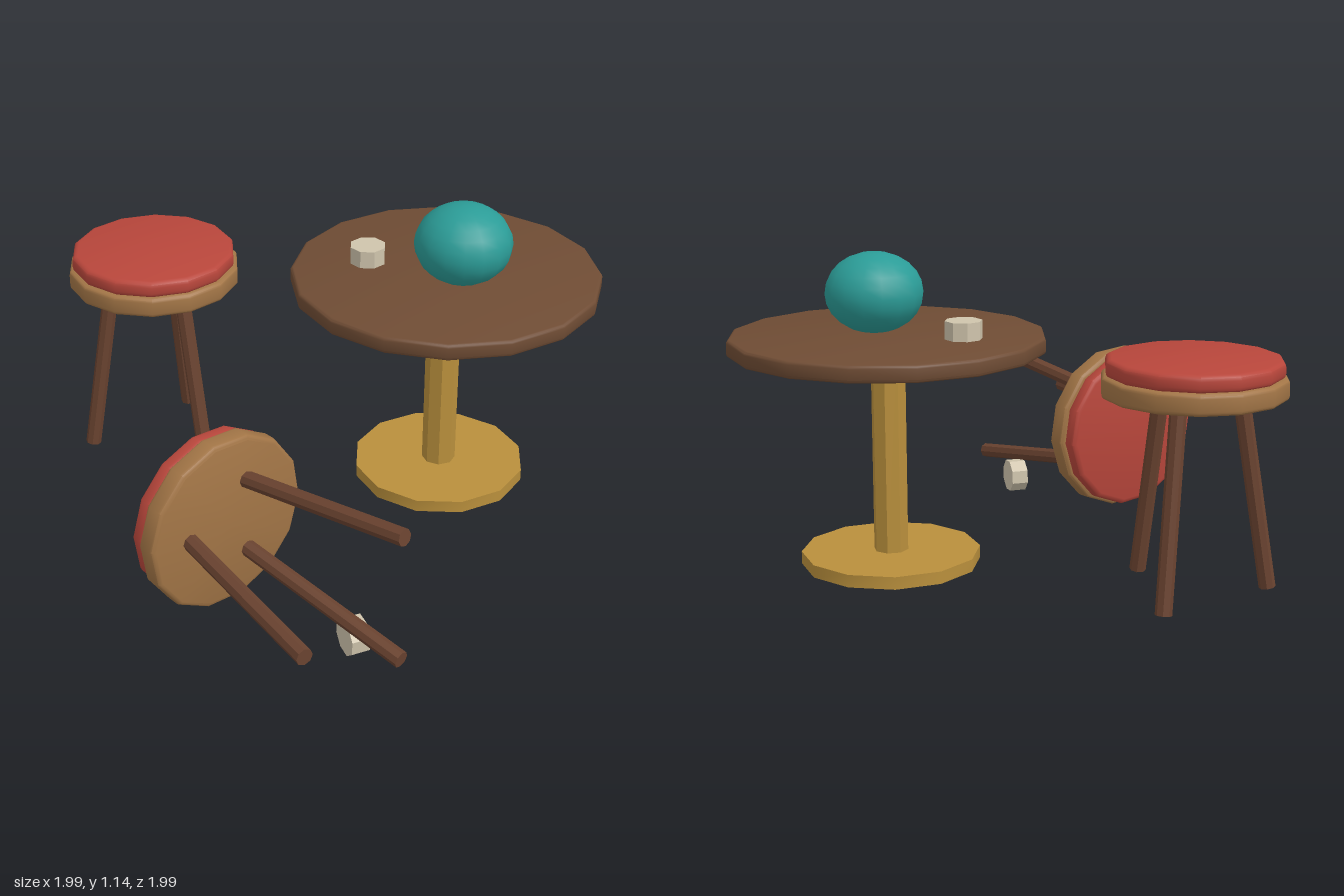
import * as THREE from 'three';
import { toCreasedNormals } from 'three/addons/utils/BufferGeometryUtils.js';

const material = (name, color) => {
  const m = new THREE.MeshStandardMaterial({ color });
  m.name = name;
  return m;
};

// Round slab from y0 to y1 with softened edges
function discGeometry(r, y0, y1, bevel, sides) {
  const points = [new THREE.Vector2(0, y0)];
  for (let i = 0; i <= 3; i++) {
    const a = -Math.PI / 2 + (i * Math.PI) / 6;
    points.push(new THREE.Vector2(r - bevel + bevel * Math.cos(a), y0 + bevel + bevel * Math.sin(a)));
  }
  for (let i = 0; i <= 3; i++) {
    const a = (i * Math.PI) / 6;
    points.push(new THREE.Vector2(r - bevel + bevel * Math.cos(a), y1 - bevel + bevel * Math.sin(a)));
  }
  points.push(new THREE.Vector2(0, y1));
  return toCreasedNormals(new THREE.LatheGeometry(points, sides), 0.62);
}

// Straight faceted rod between two points
function rodGeometry(from, to, r, sides) {
  const dir = to.clone().sub(from);
  const g = new THREE.CylinderGeometry(r, r, dir.length(), sides);
  g.applyQuaternion(new THREE.Quaternion().setFromUnitVectors(new THREE.Vector3(0, 1, 0), dir.normalize()));
  g.translate((from.x + to.x) / 2, (from.y + to.y) / 2, (from.z + to.z) / 2);
  return toCreasedNormals(g, 0.5);
}

export function createModel() {
  const darkWood = material('dark wood', 0x6f4c34);
  const legWood = material('leg wood', 0x6a4330);
  const paleWood = material('pale wood', 0xa27546);
  const redCloth = material('red cloth', 0xb8463b);
  const brass = material('brass', 0xb98f3c);
  const teal = material('teal', 0x2b9c97);
  const cream = material('cream', 0xcfc4ac);

  const model = new THREE.Group();
  model.name = 'tableAndStools';

  const add = (parent, name, geometry, mat, x = 0, y = 0, z = 0) => {
    const mesh = new THREE.Mesh(geometry, mat);
    mesh.name = name;
    mesh.position.set(x, y, z);
    parent.add(mesh);
    return mesh;
  };

  // Pedestal table
  const table = new THREE.Group();
  table.name = 'table';
  table.position.set(0.193, 0, -0.44);
  model.add(table);
  add(table, 'tableTop', discGeometry(0.558, 0.808, 0.868, 0.012, 16), darkWood);
  add(table, 'tablePole', toCreasedNormals(new THREE.CylinderGeometry(0.062, 0.062, 0.75, 8), 0.5), brass, 0, 0.445, 0);
  add(table, 'tableBase', toCreasedNormals(new THREE.CylinderGeometry(0.32, 0.32, 0.045, 12), 0.6), brass, 0, 0.058, 0);

  // Three-legged stool, origin at the centre of its feet
  function stool(name, spin) {
    const g = new THREE.Group();
    g.name = name;
    add(g, 'seatRim', discGeometry(0.316, 0.685, 0.76, 0.016, 14), paleWood).rotation.y = spin;
    add(g, 'cushion', discGeometry(0.302, 0.755, 0.817, 0.02, 14), redCloth).rotation.y = spin;
    for (let i = 0; i < 3; i++) {
      const a = (i * Math.PI * 2) / 3;
      const at = (r, y) => new THREE.Vector3(r * Math.cos(a), y, r * Math.sin(a));
      add(g, 'stoolLeg', rodGeometry(at(0.272, 0.005), at(0.158, 0.7), 0.029, 8), legWood);
    }
    model.add(g);
    return g;
  }

  stool('standingStool', 0).position.set(-0.69, 0.035, 0.2);

  // Second stool lies on its side with the cushion towards -x
  const fallen = stool('fallenStool', -0.15);
  fallen.quaternion.setFromRotationMatrix(new THREE.Matrix4().makeBasis(
    new THREE.Vector3(0, 0, 1), new THREE.Vector3(-1, 0, 0), new THREE.Vector3(0, -1, 0)));
  fallen.position.set(0.995, 0.355, 0.68);

  // Slightly squashed ball on the table
  const ball = add(model, 'ball', new THREE.SphereGeometry(0.175, 16, 12), teal, 0.27, 1.002, -0.443);
  ball.scale.y = 0.82;

  // Two small cups: one on the table, one tipped over on the floor
  const cup = toCreasedNormals(new THREE.CylinderGeometry(0.066, 0.066, 0.066, 8), 0.5);
  add(model, 'tableCup', cup, cream, -0.05, 0.899, -0.285).rotation.y = Math.PI / 8;
  const tipped = add(model, 'tippedCup', cup, cream, 0.75, 0.067, 0.525);
  tipped.quaternion.setFromUnitVectors(new THREE.Vector3(0, 1, 0), new THREE.Vector3(-0.31, 0, 0.95).normalize());

  return model;
}
